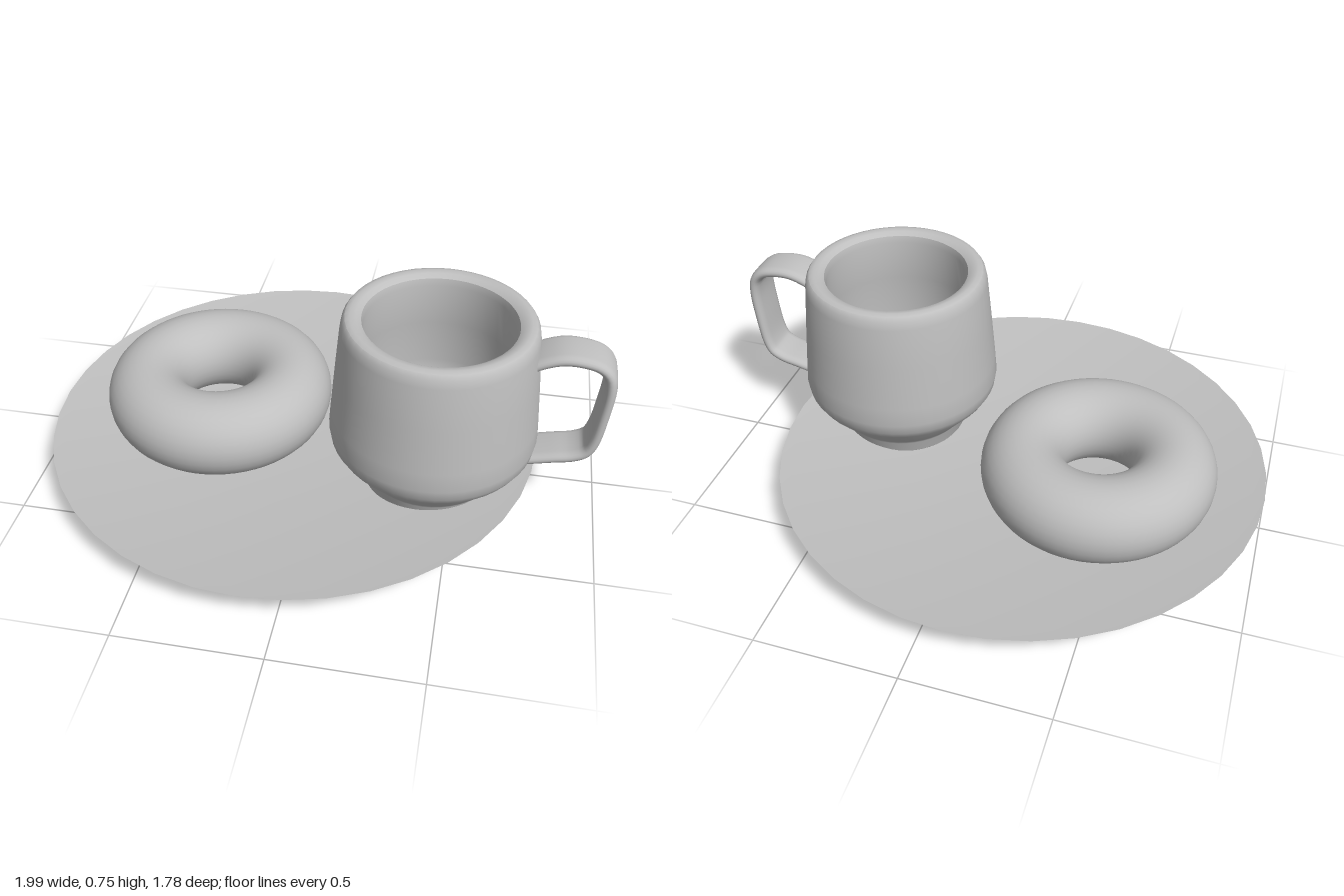
import * as THREE from 'three';
import { mergeVertices, toCreasedNormals } from 'three/addons/utils/BufferGeometryUtils.js';

const ceramic = new THREE.MeshStandardMaterial({ color: 0xbfbfbf });
ceramic.name = 'grey ceramic';

function addMesh(parent, name, geometry, x = 0, y = 0, z = 0) {
  const mesh = new THREE.Mesh(geometry, ceramic);
  mesh.name = name;
  mesh.position.set(x, y, z);
  parent.add(mesh);
}

// Lathe from [radius, height] pairs, keeping hard edges above the crease angle
function turned(profile, segments, crease) {
  const points = profile.map(([r, y]) => new THREE.Vector2(r, y));
  return toCreasedNormals(new THREE.LatheGeometry(points, segments), crease);
}

// Flat strap swept along a path in the xy plane, with rounded edges
function strap(points, thickness, width) {
  const path = new THREE.CatmullRomCurve3(points.map(([x, y]) => new THREE.Vector3(x, y, 0)));
  const r = thickness / 2;
  const geometry = new THREE.TubeGeometry(path, 48, r, 20, false);
  const pos = geometry.attributes.position;
  for (let i = 0; i < pos.count; i++) {
    const t = pos.getZ(i) / r;
    pos.setZ(i, Math.sign(t) * Math.pow(Math.abs(t), 0.4) * width / 2);
  }
  geometry.deleteAttribute('normal');
  geometry.deleteAttribute('uv');
  const welded = mergeVertices(geometry);
  welded.computeVertexNormals();
  return welded;
}

export function createModel() {
  const model = new THREE.Group();
  model.name = 'mugAndRingOnPlate';

  // Plate with a recessed foot ring and a shallow dish
  addMesh(model, 'plate', turned([
    [0, 0.028], [0.625, 0.028], [0.63, 0], [0.64, 0], [0.65, 0.008], [0.65, 0.04],
    [0.89, 0.14], [0.85, 0.134], [0.41, 0.085], [0, 0.08],
  ], 40, 0.35), -0.11, 0, 0);

  // Ring-shaped cake
  const ring = new THREE.TorusGeometry(0.27, 0.15, 32, 64);
  ring.rotateX(Math.PI / 2);
  addMesh(model, 'doughnut', ring, -0.41, 0.195, -0.06);

  // Mug: hollow body and strap handle
  const mug = new THREE.Group();
  mug.name = 'mug';
  mug.position.set(0.41, 0, 0.14);
  model.add(mug);
  addMesh(mug, 'mugBody', turned([
    [0, 0.08], [0.228, 0.08], [0.235, 0.09], [0.235, 0.125], [0.25, 0.145],
    [0.335, 0.24], [0.353, 0.27], [0.36, 0.31], [0.355, 0.38], [0.342, 0.54], [0.328, 0.7],
    [0.322, 0.73], [0.312, 0.745], [0.295, 0.75], [0.275, 0.747], [0.258, 0.735], [0.252, 0.71],
    [0.265, 0.55], [0.278, 0.38], [0.275, 0.33], [0.255, 0.28], [0.15, 0.14], [0, 0.13],
  ], 48, 0.7));
  addMesh(mug, 'mugHandle', strap([
    [0.3, 0.63], [0.345, 0.655], [0.4, 0.674], [0.46, 0.675], [0.52, 0.66], [0.552, 0.63],
    [0.563, 0.58], [0.556, 0.46], [0.54, 0.35], [0.522, 0.31], [0.48, 0.286],
    [0.42, 0.272], [0.33, 0.25],
  ], 0.042, 0.15), 0, 0, 0.01);

  return model;
}
